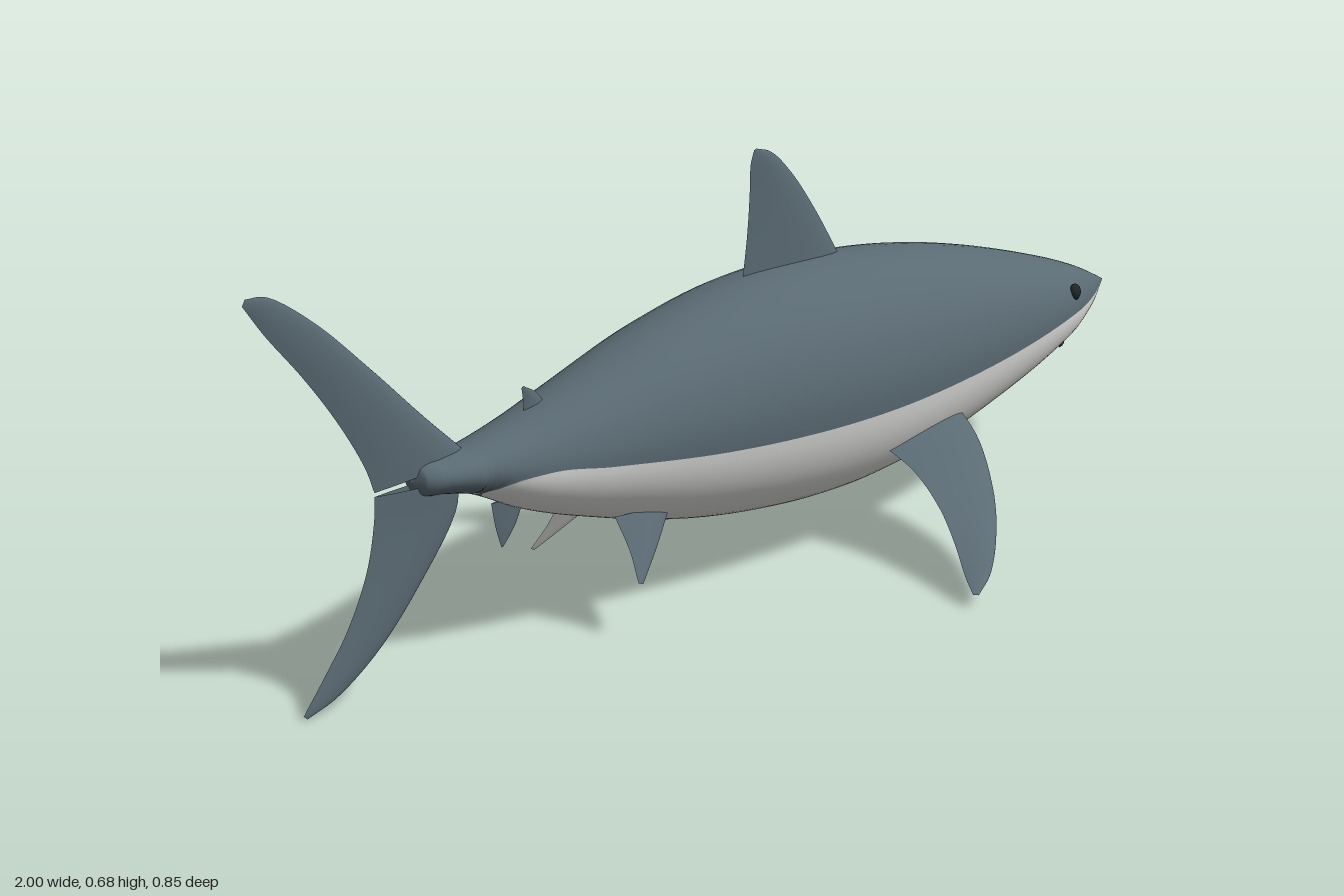
import * as THREE from 'three';

const mat = (name, color) => {
  const m = new THREE.MeshStandardMaterial({ color });
  m.name = name;
  return m;
};

// Body stations: x, top, bottom, half width, height of the colour line
const STATIONS = [
  [-0.712, 0.306, 0.304, 0.001, 0.2],
  [-0.70, 0.328, 0.284, 0.026, 0.2],
  [-0.66, 0.333, 0.277, 0.042, 0.2],
  [-0.60, 0.338, 0.262, 0.054, 0.268],
  [-0.50, 0.360, 0.215, 0.078, 0.287],
  [-0.40, 0.388, 0.180, 0.102, 0.277],
  [-0.20, 0.445, 0.125, 0.142, 0.260],
  [0.00, 0.480, 0.094, 0.166, 0.252],
  [0.20, 0.484, 0.086, 0.172, 0.252],
  [0.40, 0.466, 0.106, 0.161, 0.260],
  [0.60, 0.427, 0.150, 0.137, 0.273],
  [0.80, 0.373, 0.205, 0.094, 0.287],
  [0.90, 0.339, 0.244, 0.055, 0.292],
  [0.97, 0.309, 0.279, 0.018, 0.295],
  [1.00, 0.295, 0.294, 0.001, 0.2945],
];

// Smooth value of one station column at x
function profile(x, col) {
  const P = STATIONS, n = P.length;
  let i = 0;
  while (i < n - 2 && x > P[i + 1][0]) i++;
  const slope = (k) => {
    const a = P[Math.max(k - 1, 0)], b = P[Math.min(k + 1, n - 1)];
    return (b[col] - a[col]) / (b[0] - a[0]);
  };
  const d = P[i + 1][0] - P[i][0], t = (x - P[i][0]) / d, t2 = t * t, t3 = t2 * t;
  return (2 * t3 - 3 * t2 + 1) * P[i][col] + (t3 - 2 * t2 + t) * d * slope(i)
    + (3 * t2 - 2 * t3) * P[i + 1][col] + (t3 - t2) * d * slope(i + 1);
}

// Point on the body skin at x and angle a, measured from +z upward
function skin(x, a, lift = 0) {
  const top = profile(x, 1), bottom = profile(x, 2);
  return new THREE.Vector3(
    x,
    (top + bottom) / 2 + ((top - bottom) / 2 + lift) * Math.sin(a),
    (profile(x, 3) + lift) * Math.cos(a));
}

// Grid surface from a function of u and v, both 0 to 1
function sheet(fn, rows, cols, flip = false) {
  const pos = [], idx = [];
  for (let i = 0; i <= rows; i++) {
    for (let j = 0; j <= cols; j++) {
      pos.push(...fn(i / rows, j / cols).toArray());
      if (i === rows || j === cols) continue;
      const a = i * (cols + 1) + j, b = a + cols + 1;
      if (flip) idx.push(a, b + 1, b, a, a + 1, b + 1);
      else idx.push(a, b, b + 1, a, b + 1, a + 1);
    }
  }
  const g = new THREE.BufferGeometry();
  g.setAttribute('position', new THREE.Float32BufferAttribute(pos, 3));
  g.setIndex(idx);
  g.computeVertexNormals();
  return g;
}

// Fin lofted between a leading and a trailing edge, from root to tip.
// bands: for each face, a list of [span start, span end, material]
function fin(name, lead, trail, thick, topBands, underBands, side = 1) {
  const group = new THREE.Group();
  group.name = name;
  const curve = (pts) => new THREE.CatmullRomCurve3(
    pts.map(([x, y, z = 0]) => new THREE.Vector3(x, y, z * side)));
  const L = curve(lead), T = curve(trail);
  const span = L.getPoint(1).sub(L.getPoint(0).lerp(T.getPoint(0), 0.5));
  const normal = span.cross(T.getPoint(0).sub(L.getPoint(0))).normalize();
  for (const dir of [1, -1]) {
    for (const [s0, s1, material] of normal.y * dir >= 0 ? topBands : underBands) {
      const fn = (u, v) => {
        const s = s0 + (s1 - s0) * u, c = v * v;
        const h = thick * (1 - 0.75 * s) * Math.sqrt(1 - s ** 6) * 2.6 * v * (1 - c);
        return L.getPoint(s).lerp(T.getPoint(s), c).addScaledVector(normal, dir * h);
      };
      const mesh = new THREE.Mesh(sheet(fn, 24, 10, dir < 0), material);
      mesh.name = name + 'Face';
      group.add(mesh);
    }
  }
  return group;
}

export function createModel() {
  const model = new THREE.Group();
  model.name = 'shark';
  const grey = mat('slateGrey', 0x5a6a73);
  const white = mat('bellyWhite', 0xdcdcda);
  const black = mat('finTipBlack', 0x232425);
  const dark = mat('eyeDark', 0x20262a);
  grey.side = white.side = black.side = THREE.DoubleSide;
  const add = (name, geometry, material) => {
    const mesh = new THREE.Mesh(geometry, material);
    mesh.name = name;
    model.add(mesh);
    return mesh;
  };

  // Body: grey back and white belly meeting at the colour line
  const xAt = (u) => {
    const f = u * (STATIONS.length - 1), i = Math.min(Math.floor(f), STATIONS.length - 2);
    return THREE.MathUtils.lerp(STATIONS[i][0], STATIONS[i + 1][0], f - i);
  };
  const lineAngle = (x) => {
    const top = profile(x, 1), bottom = profile(x, 2);
    const k = (profile(x, 4) - (top + bottom) / 2) / ((top - bottom) / 2);
    return Math.asin(THREE.MathUtils.clamp(k, -1, 0.9));
  };
  const rows = (STATIONS.length - 1) * 6;
  add('back', sheet((u, v) => {
    const x = xAt(u), a = lineAngle(x);
    return skin(x, a + (Math.PI - 2 * a) * v);
  }, rows, 32), grey);
  add('belly', sheet((u, v) => {
    const x = xAt(u), a = lineAngle(x);
    return skin(x, -Math.PI - a + (Math.PI + 2 * a) * v);
  }, rows, 32), white);

  // Fins on the centre line
  const all = [[0, 1, grey]];
  const centreFins = [
    ['dorsalFin',
      [[0.25, 0.46], [0.18, 0.56], [0.12, 0.632], [0.07, 0.674], [0.035, 0.684]],
      [[0.0, 0.46], [0.014, 0.55], [0.02, 0.62], [0.022, 0.66], [0.03, 0.682]], 0.014],
    ['secondDorsalFin',
      [[-0.44, 0.365], [-0.46, 0.388], [-0.485, 0.402]],
      [[-0.485, 0.35], [-0.485, 0.375], [-0.488, 0.399]], 0.006],
    ['analFin',
      [[-0.485, 0.235], [-0.508, 0.19], [-0.532, 0.162]],
      [[-0.555, 0.235], [-0.547, 0.195], [-0.536, 0.161]], 0.006],
    ['upperTailLobe',
      [[-0.60, 0.325], [-0.68, 0.396], [-0.78, 0.49], [-0.88, 0.578], [-0.96, 0.628], [-0.995, 0.631]],
      [[-0.78, 0.306], [-0.795, 0.345], [-0.84, 0.42], [-0.90, 0.50], [-0.965, 0.575], [-1.0, 0.622]], 0.012],
    ['lowerTailLobe',
      [[-0.62, 0.295], [-0.625, 0.245], [-0.70, 0.148], [-0.78, 0.07], [-0.86, 0.02], [-0.918, 0.002]],
      [[-0.78, 0.300], [-0.783, 0.26], [-0.80, 0.19], [-0.838, 0.115], [-0.885, 0.055], [-0.925, 0.008]], 0.012],
  ];
  for (const [name, lead, trail, thick] of centreFins) model.add(fin(name, lead, trail, thick, all, all));

  for (const side of [1, -1]) {
    const label = side > 0 ? 'left' : 'right';

    // Pectoral fins: grey above, white below with black tips
    model.add(fin(label + 'PectoralFin',
      [[0.42, 0.192, 0.12], [0.385, 0.158, 0.19], [0.31, 0.104, 0.28], [0.22, 0.066, 0.355], [0.14, 0.036, 0.405], [0.085, 0.021, 0.425]],
      [[0.21, 0.178, 0.12], [0.208, 0.148, 0.19], [0.18, 0.108, 0.268], [0.138, 0.07, 0.335], [0.10, 0.04, 0.385], [0.077, 0.022, 0.42]],
      0.015, all, [[0, 0.6, white], [0.6, 1, black]], side));

    // Pelvic fins: grey above, white below
    model.add(fin(label + 'PelvicFin',
      [[-0.24, 0.168, 0.066], [-0.30, 0.122, 0.095], [-0.355, 0.083, 0.119]],
      [[-0.355, 0.178, 0.06], [-0.354, 0.13, 0.09], [-0.364, 0.087, 0.118]],
      0.007, all, [[0, 1, white]], side));

    // Eyes
    const eye = add(label + 'Eye', new THREE.SphereGeometry(0.015, 20, 14), dark);
    const p = skin(0.79, 0.4);
    eye.position.set(p.x, p.y, p.z * side);
    eye.scale.set(1, 1, 0.7);
    eye.rotation.y = 0.3 * side;
  }

  // Mouth: a thin crescent under the snout
  const mouth = [];
  for (let i = -8; i <= 8; i++) {
    const s = i / 8;
    mouth.push(skin(0.855 - 0.11 * s * s, -Math.PI / 2 + s * 0.95));
  }
  add('mouth', new THREE.TubeGeometry(new THREE.CatmullRomCurve3(mouth), 40, 0.003, 6), dark);

  return model;
}
